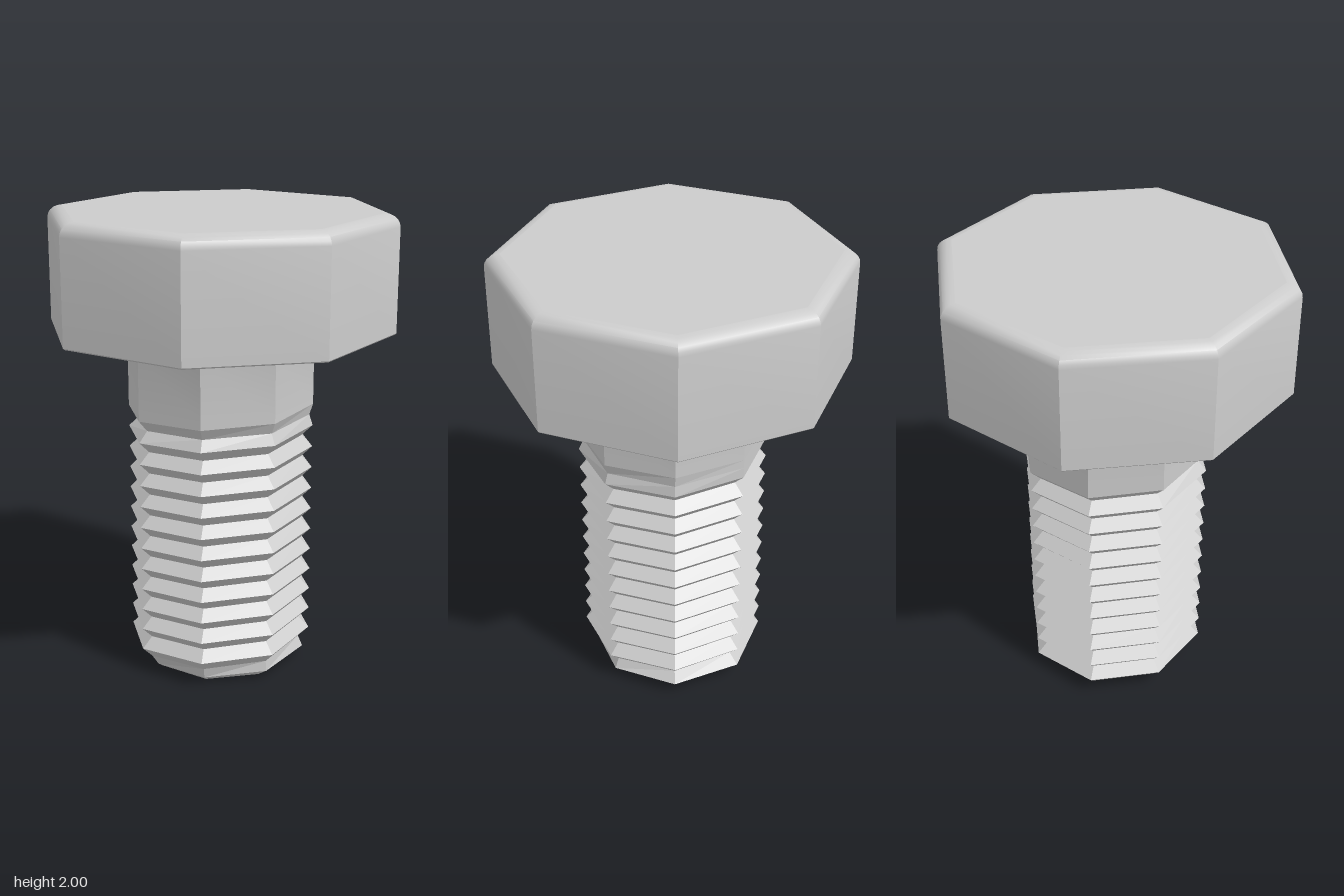
import * as THREE from 'three';
import { toCreasedNormals } from 'three/addons/utils/BufferGeometryUtils.js';

const SIDES = 8;
const R = 0.405;        // shank and thread crest radius
const ROOT = 0.358;     // thread root radius
const PITCH = 0.0945;
const TIP = 0.305;      // radius of the flat end
const THREAD_TOP = 1.2;
const HEAD_R = 0.745;

const material = new THREE.MeshStandardMaterial({ color: 0xcccccc });

function part(name, geometry) {
  const mesh = new THREE.Mesh(geometry, material);
  mesh.name = name;
  return mesh;
}

// Eight-sided lathe: smooth along the profile, sharp at the corners
function octagonal(points) {
  const profile = points.map(([r, y]) => new THREE.Vector2(r, y));
  return toCreasedNormals(new THREE.LatheGeometry(profile, SIDES), 0.6);
}

// Quarter-ellipse points
function arc(cx, cy, rx, ry, from, to, steps = 5) {
  return Array.from({ length: steps + 1 }, (_, i) => {
    const a = from + ((to - from) * i) / steps;
    return [cx + rx * Math.cos(a), cy + ry * Math.sin(a)];
  });
}

// Flat octagon closing an end
function cap(radius, y, up) {
  const g = new THREE.CircleGeometry(radius, SIDES);
  g.rotateX(up ? -Math.PI / 2 : Math.PI / 2);
  return g.translate(0, y, 0);
}

// Helical thread: rows alternate crest and root and climb one pitch per turn
function threadGeometry() {
  const point = (j, i) => {
    const a = (j / SIDES) * Math.PI * 2;
    const raw = 0.098 + PITCH * (j / SIDES + i / 2);
    const y = THREE.MathUtils.clamp(raw, 0, THREAD_TOP);
    // the groove runs out just below the plain shank
    const fade = THREE.MathUtils.clamp((1.16 - raw) / 0.07, 0, 1);
    let r = i % 2 === 0 ? R : R - (R - ROOT) * fade;
    // the chamfered tip cuts the first turns
    r = Math.min(r, TIP + 1.45 * y);
    return [-Math.cos(a) * r, y, Math.sin(a) * r];
  };
  const positions = [];
  for (let j = 0; j < SIDES; j++) {
    for (let i = -5; i < 25; i++) {
      const a = point(j, i), b = point(j + 1, i);
      const c = point(j + 1, i + 1), d = point(j, i + 1);
      if (b[1] !== c[1]) positions.push(...a, ...b, ...c);
      if (a[1] !== d[1]) positions.push(...a, ...c, ...d);
    }
  }
  const g = new THREE.BufferGeometry();
  g.setAttribute('position', new THREE.Float32BufferAttribute(positions, 3));
  g.computeVertexNormals();
  return g;
}

export function createModel() {
  const bolt = new THREE.Group();
  bolt.name = 'bolt';

  // Threaded rod with its flat end
  bolt.add(part('thread', threadGeometry()));
  bolt.add(part('tip', cap(TIP, 0, false)));

  // Plain shank flaring into the underside of the head
  bolt.add(part('shank', octagonal([
    [R, THREAD_TOP],
    ...arc(R + 0.085, 1.435, 0.085, 0.065, Math.PI, Math.PI / 2),
    [HEAD_R - 0.006, 1.5],
  ])));

  // Head with a rounded upper edge
  const edge = 0.065;
  bolt.add(part('head', octagonal([
    [HEAD_R - 0.006, 1.5],
    [HEAD_R, 1.506],
    ...arc(HEAD_R - edge, 1.945, edge, 0.055, 0, Math.PI / 2),
  ])));
  bolt.add(part('headTop', cap(HEAD_R - edge, 2, true)));

  return bolt;
}
